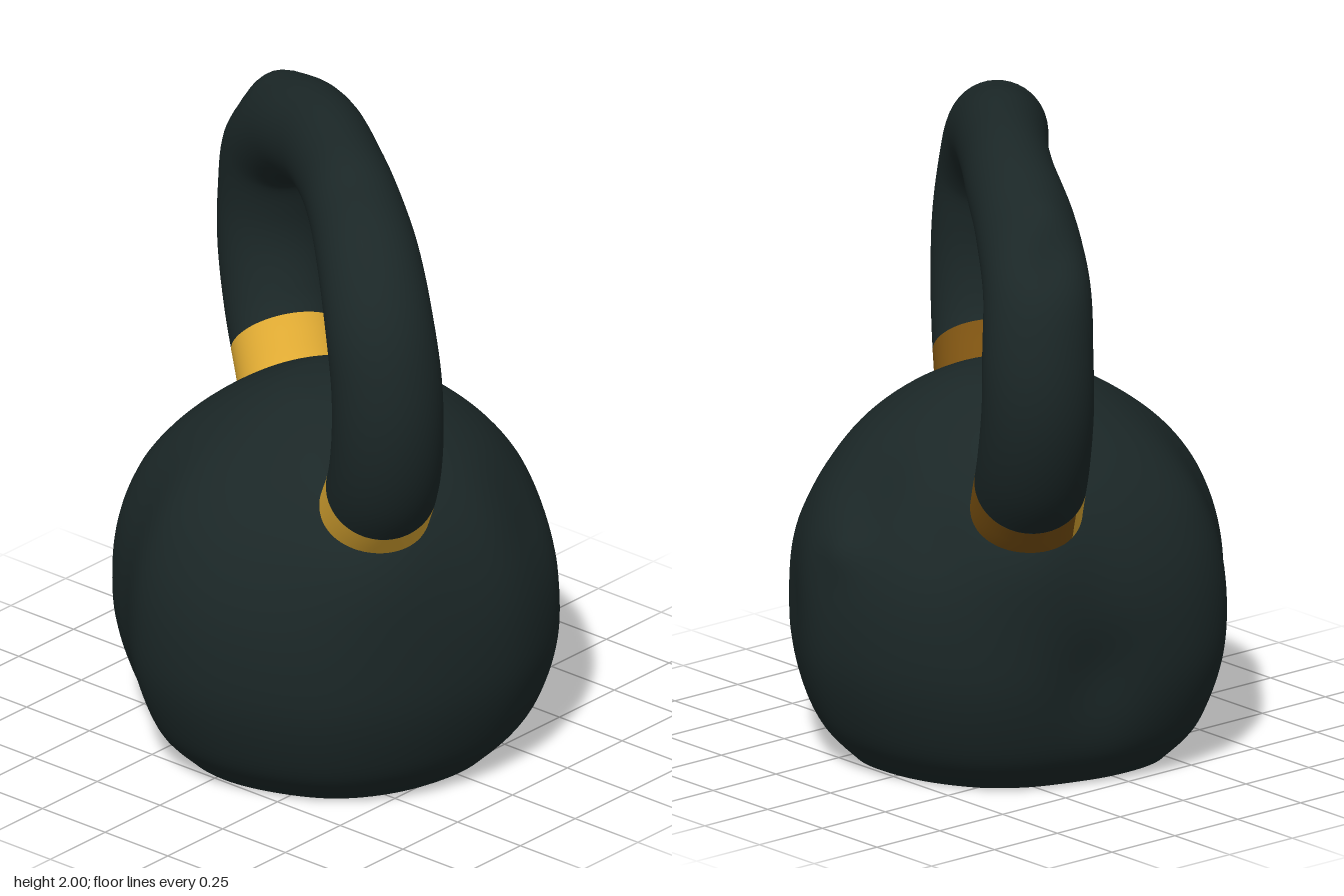
import * as THREE from 'three';

const V = (x, y, z) => new THREE.Vector3(x, y, z);

// Skin a stack of rings (counter-clockwise around the travel direction)
function loft(rings, closed = true) {
  const n = rings[0].length, pos = [], idx = [];
  rings.forEach(r => r.forEach(p => pos.push(p.x, p.y, p.z)));
  for (let i = 0; i < rings.length - 1; i++) {
    for (let j = 0; j < (closed ? n : n - 1); j++) {
      const k = (j + 1) % n, a = i * n + j, b = i * n + k, c = a + n, d = b + n;
      idx.push(a, b, d, a, d, c);
    }
  }
  const g = new THREE.BufferGeometry();
  g.setAttribute('position', new THREE.Float32BufferAttribute(pos, 3));
  g.setIndex(idx);
  g.computeVertexNormals();
  return g;
}

// Soft lumps and dents: [x, y, z, spread, amount]
const dents = [
  [0.60, 0.71, 0.08, 0.055, 0.03],
  [0.52, 0.86, 0.08, 0.10, -0.035],
  [0.50, 0.80, -0.22, 0.09, -0.018],
  [0.50, 0.46, 0.42, 0.14, -0.03],
  [0.28, 0.78, 0.50, 0.14, -0.035],
  [0.16, 0.36, -0.57, 0.12, -0.042],
  [0.35, 0.80, -0.46, 0.14, 0.055],
  [-0.34, 0.82, 0.50, 0.14, 0.045],
];
const handleDents = [
  [0.35, 1.85, -0.50, 0.06, 0.022],
  [0.42, 1.76, -0.63, 0.06, -0.025],
  [-0.20, 1.95, 0.30, 0.08, -0.012],
];
function dent(p, centre, list) {
  const dir = p.clone().sub(centre).normalize();
  let amount = 0;
  for (const [x, y, z, s, a] of list) {
    amount += a * Math.exp(-p.distanceToSquared(V(x, y, z)) / (2 * s * s));
  }
  return p.addScaledVector(dir, amount);
}

// Uneven plan outline of the ball, relative to its axis
const AXIS_Z = 0.05;
const outline = new THREE.CatmullRomCurve3([
  [0.675, 0.05], [0.655, -0.10], [0.60, -0.25], [0.51, -0.39], [0.37, -0.50], [0.20, -0.565],
  [0, -0.61], [-0.22, -0.60], [-0.35, -0.54], [-0.50, -0.36], [-0.64, -0.18], [-0.68, 0.05],
  [-0.62, 0.30], [-0.52, 0.48], [-0.38, 0.60], [-0.20, 0.68], [0.05, 0.715], [0.26, 0.67],
  [0.43, 0.58], [0.59, 0.37], [0.665, 0.20],
].map(([x, z]) => V(x, 0, z - AXIS_Z)), true).getSpacedPoints(120).slice(0, -1);

function bodyRings() {
  const profile = new THREE.SplineCurve([
    [0.72, 0], [0.85, 0.09], [0.93, 0.2], [0.985, 0.33], [1, 0.46], [0.985, 0.6], [0.935, 0.73],
    [0.84, 0.86], [0.69, 0.98], [0.48, 1.085], [0.27, 1.155], [0.12, 1.175], [0.002, 1.18],
  ].map(([s, y]) => new THREE.Vector2(s, y))).getPoints(72);
  return profile.map(({ x: s, y }) => outline.map(o => {
    // the plan becomes rounder towards the crown
    const round = THREE.MathUtils.smoothstep(y, 0.8, 1.15);
    const q = o.clone().lerp(o.clone().setLength(0.67), round).multiplyScalar(s);
    const p = V(q.x, y, q.z + AXIS_Z);
    dent(p, V(0, 0.5, AXIS_Z), dents);
    if (y < 0.005) p.y = 0;
    return p;
  }));
}

// Handle path, turned diagonally across the ball
const path = new THREE.CatmullRomCurve3([
  [-0.20, 0.84, 0.345], [-0.28, 0.97, 0.45], [-0.345, 1.12, 0.54], [-0.375, 1.28, 0.58],
  [-0.38, 1.45, 0.58], [-0.36, 1.62, 0.535], [-0.275, 1.76, 0.42], [-0.14, 1.83, 0.25],
  [0.02, 1.845, 0.045], [0.165, 1.83, -0.155], [0.295, 1.765, -0.37], [0.39, 1.63, -0.53],
  [0.43, 1.45, -0.58], [0.43, 1.28, -0.58], [0.395, 1.09, -0.52], [0.33, 0.94, -0.42],
  [0.25, 0.81, -0.31],
].map(a => V(...a)));
const SIDE = V(0.833, 0, 0.553);

// Stretch of the handle; a0..a1 (degrees) limits it to part of the way round
function handleSection(from, to, steps, a0 = 0, a1 = 360) {
  const closed = a1 - a0 === 360, rings = [];
  for (let i = 0; i <= steps; i++) {
    const t = from + (to - from) * i / steps;
    const c = path.getPointAt(t), T = path.getTangentAt(t);
    const B = T.clone().cross(SIDE).normalize(), N = B.clone().cross(T);
    const mid = Math.exp(-(((t - 0.5) / 0.17) ** 2));
    const wide = 0.17 - 0.036 * mid;   // grip is slimmer across the middle
    // rings lean inwards near the feet, so the bands follow the ball
    const lean = 0.035 * Math.sign(0.5 - t)
      * (1 - THREE.MathUtils.smoothstep(Math.min(t, 1 - t), 0.1, 0.25));
    const ring = [];
    for (let j = 0; j < (closed ? 40 : 41); j++) {
      const a = THREE.MathUtils.degToRad(a0 + (a1 - a0) * j / 40);
      const p = c.clone().addScaledVector(N, Math.cos(a) * wide)
        .addScaledVector(B, Math.sin(a) * 0.158);
      dent(p, c, handleDents);
      ring.push(p.addScaledVector(T, Math.sin(a) * lean));
    }
    rings.push(ring);
  }
  return loft(rings, closed);
}

// Path position at which a leg crosses a given height
function atHeight(y, start, dir) {
  let t = start;
  while (path.getPointAt(t).y < y) t += dir * 0.001;
  return t;
}

function material(name, color) {
  const m = new THREE.MeshStandardMaterial({ color });
  m.name = name;
  return m;
}

export function createModel() {
  const iron = material('dark iron', 0x1b2727);
  const gold = material('bright gold', 0xdfaa33);
  const bronze = material('dark gold', 0x7c5211);

  const model = new THREE.Group();
  model.name = 'kettlebell';
  const add = (name, geometry, mat) => {
    const m = new THREE.Mesh(geometry, mat);
    m.name = name;
    model.add(m);
  };
  // Flush band, dark between angles a0 and a1 and bright on the rest
  const addBand = (name, from, to, a0, a1) => {
    add(name + 'Dark', handleSection(from, to, 6, a0, a1), bronze);
    add(name + 'Bright', handleSection(from, to, 6, a1, a0 + 360), gold);
  };

  // Ball and its flat foot
  const rings = bodyRings();
  add('ball', loft(rings), iron);
  const foot = rings[0], centre = foot.map(() => V(0, 0, AXIS_Z));
  add('flatBase', loft([centre, foot]), iron);

  // Handle between two bands
  const r0 = atHeight(0.935, 0, 1), r1 = atHeight(1.06, 0, 1);
  const l0 = atHeight(0.88, 1, -1), l1 = atHeight(1.005, 1, -1);
  add('rightHandleRoot', handleSection(0, r0, 6), iron);
  addBand('rightBand', r0, r1, -30, 120);
  add('handle', handleSection(r1, l1, 100), iron);
  addBand('leftBand', l1, l0, -140, 45);
  add('leftHandleRoot', handleSection(l0, 1, 6), iron);
  return model;
}
